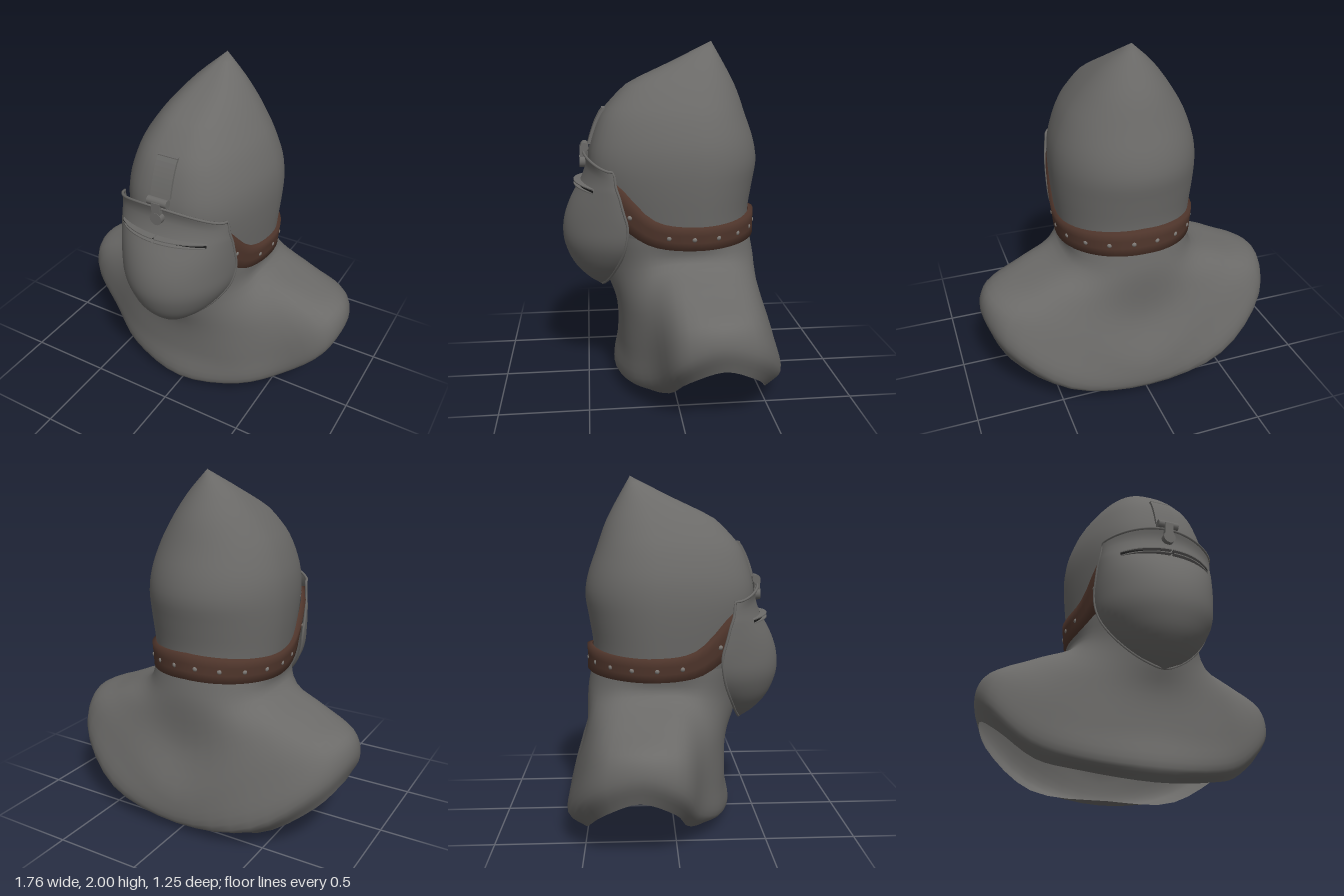
import * as THREE from 'three';
import { mergeVertices } from 'three/addons/utils/BufferGeometryUtils.js';

const V = (x, y, z) => new THREE.Vector3(x, y, z);

// Smooth lookup in a table whose first column rises
function at(table, key) {
  const last = table.length - 1;
  let i = 0;
  while (i < last - 1 && key > table[i + 1][0]) i++;
  const a = table[i], b = table[i + 1], h = b[0] - a[0];
  const t = THREE.MathUtils.clamp((key - a[0]) / h, 0, 1);
  const slope = (n, k) => {
    const p = table[Math.max(n - 1, 0)], q = table[Math.min(n + 1, last)];
    return (q[k] - p[k]) / (q[0] - p[0]) * h;
  };
  return a.map((v, k) => {
    const d = b[k] - v, m = slope(i, k), n = slope(i + 1, k);
    return v + t * (m + t * (3 * d - 2 * m - n + t * (m + n - 2 * d)));
  });
}

// Surface through rows of points
function grid(rows, sharp = false) {
  const n = rows[0].length, idx = [];
  for (let i = 0; i < rows.length - 1; i++)
    for (let j = 0; j < n - 1; j++) {
      const a = i * n + j, b = a + 1, c = a + n, d = c + 1;
      idx.push(a, c, b, b, c, d);
    }
  let g = new THREE.BufferGeometry().setFromPoints(rows.flat());
  g.setIndex(idx);
  g = sharp ? g.toNonIndexed() : mergeVertices(g, 1e-4);
  g.computeVertexNormals();
  return g;
}
const range = (n, f) => Array.from({ length: n + 1 }, (_, i) => f(i / n, i));

// Skull sections: y, front z, back z, half width, centre z
const SKULL = [
  [0.88, 0.37, -0.465, 0.375, -0.1], [1.04, 0.42, -0.465, 0.392, -0.1],
  [1.2, 0.46, -0.488, 0.407, -0.1], [1.33, 0.475, -0.507, 0.41, -0.1],
  [1.45, 0.455, -0.488, 0.393, -0.1], [1.6, 0.395, -0.435, 0.338, -0.1],
  [1.7, 0.31, -0.4, 0.278, -0.11], [1.77, 0.23, -0.37, 0.228, -0.13],
  [1.88, 0.0, -0.31, 0.135, -0.17], [2, -0.24, -0.24, 0, -0.24],
];
// Point on the skull; angle 0 is the front, PI the back
function skullPoint(y, a, off = 0) {
  const [, zf, zb, hw, zc] = at(SKULL, y);
  const s = Math.sin(a), c = Math.cos(a);
  const p = c > 0 ? 1 - 0.3 * c : 1;
  const x = Math.sign(s) * Math.pow(Math.abs(s), p) * (hw + off);
  return V(x, y, zc + c * ((c > 0 ? zf - zc : zc - zb) + off));
}

// Visor rows: y, middle z, edge x, edge z, drop of the edge
const VISOR = [
  [0.57, 0.41, 0.005, 0.41, 0], [0.63, 0.49, 0.12, 0.375, 0], [0.72, 0.57, 0.225, 0.335, 0],
  [0.82, 0.615, 0.3, 0.295, 0], [0.9, 0.63, 0.335, 0.275, 0], [1.0, 0.62, 0.35, 0.265, 0],
  [1.1, 0.585, 0.35, 0.29, 0], [1.2, 0.53, 0.345, 0.315, 0], [1.24, 0.51, 0.34, 0.325, 0.02],
  [1.32, 0.488, 0.335, 0.33, 0.05], [1.38, 0.5, 0.33, 0.335, 0.07],
];
function visorPoint(y, u, off = 0) {
  const [, zm, ex, ez, drop] = at(VISOR, y);
  const s = Math.sin(u * Math.PI / 2), c = Math.max(0, Math.cos(u * Math.PI / 2));
  return V(ex * s, y - drop * s * s, ez + (zm - ez) * Math.pow(c, 1.15) + off);
}

// Band: angle, top y, bottom y, stand-off from the skull
const BAND = [
  [0.62, 1.27, 1.1, 0.035], [0.72, 1.25, 1.02, 0.037], [0.84, 1.2, 0.96, 0.035],
  [1.02, 1.09, 0.905, 0.028], [1.21, 1.03, 0.88, 0.022], [1.57, 1.01, 0.87, 0.02],
  [2.2, 1.015, 0.875, 0.024], [3.15, 1.04, 0.893, 0.037],
];

// Shoulder cape: profiles from neck to hem, placed from front to back
const CAPE = [
  [[0, 0.66, 0.38], [0, 0.47, 0.32], [0, 0.25, 0.315], [0, 0.06, 0.34], [0, 0, 0.28]],
  [[0.2, 0.72, 0.31], [0.26, 0.5, 0.28], [0.33, 0.27, 0.27], [0.38, 0.1, 0.255], [0.38, 0.055, 0.17]],
  [[0.34, 0.77, 0.17], [0.48, 0.57, 0.17], [0.58, 0.36, 0.15], [0.62, 0.2, 0.12], [0.58, 0.12, 0.06]],
  [[0.37, 0.8, 0.03], [0.6, 0.685, 0.03], [0.8, 0.56, 0.03], [0.835, 0.4, 0.02], [0.77, 0.27, -0.02]],
  [[0.38, 0.805, -0.15], [0.62, 0.69, -0.17], [0.84, 0.605, -0.18], [0.88, 0.5, -0.18], [0.84, 0.36, -0.2]],
  [[0.35, 0.79, -0.33], [0.56, 0.67, -0.37], [0.75, 0.56, -0.4], [0.79, 0.4, -0.425], [0.76, 0.27, -0.38]],
  [[0.22, 0.77, -0.455], [0.32, 0.6, -0.49], [0.42, 0.38, -0.55], [0.47, 0.16, -0.59], [0.46, 0.08, -0.5]],
  [[0, 0.77, -0.5], [0, 0.48, -0.51], [0, 0.2, -0.61], [0, 0.05, -0.6], [0, 0.045, -0.46]],
];

export function createModel() {
  const model = new THREE.Group();
  const material = (name, color, side = THREE.FrontSide) =>
    Object.assign(new THREE.MeshStandardMaterial({ color, side }), { name });
  const steel = material('dark steel', 0x6b6a68, THREE.DoubleSide);
  const leather = material('brown leather', 0x50362c, THREE.DoubleSide);
  const rivetMetal = material('rivet metal', 0x7c7874);
  const shadow = material('slit black', 0x1c1c1c, THREE.DoubleSide);
  const add = (name, geometry, mat, parent = model) => {
    const mesh = new THREE.Mesh(geometry, mat);
    mesh.name = name;
    parent.add(mesh);
    return mesh;
  };
  const group = (name) => {
    const g = new THREE.Group();
    g.name = name;
    model.add(g);
    return g;
  };

  // Pointed skull
  add('skull', grid(range(28, (t) => range(48, (s) =>
    skullPoint(2 - 1.12 * t, s * Math.PI * 2)))), steel);

  // Cape draped over the shoulders, mirrored and smoothed both ways
  const half = CAPE.map((m, i) => [skullPoint(0.93, i * Math.PI / 7, 0.006), ...m.map((p) => V(...p))]);
  const mirrored = half.slice(1, -1).reverse().map((m) => m.map((p) => V(-p.x, p.y, p.z)));
  const profiles = [...half, ...mirrored].map((m) => new THREE.CatmullRomCurve3(m));
  add('cape', grid(range(24, (t) =>
    new THREE.CatmullRomCurve3(profiles.map((c) => c.getPoint(t)), true).getPoints(56))), steel);

  // Leather band with thickness, open at the face
  const bandAngles = range(48, (t) => 0.62 + t * (2 * Math.PI - 1.24));
  const bandAt = (a) => at(BAND, a > Math.PI ? 2 * Math.PI - a : a);
  const bandRow = (f, inset) => bandAngles.map((a) => {
    const [, top, bottom, off] = bandAt(a);
    return skullPoint(top + (bottom - top) * f, a, off - inset);
  });
  add('leatherBand', grid([bandRow(0, 0.03), bandRow(0.03, 0), bandRow(0.35, 0),
    bandRow(0.65, 0), bandRow(0.97, 0), bandRow(1, 0.03)]), leather);

  // Low rivets around the band
  const rivets = group('bandRivets');
  const rivetShape = new THREE.SphereGeometry(0.016, 12, 8);
  const rivetAngles = [0.88, 1.29, 1.57, 1.94, 2.3, 2.65, 2.98];
  for (const a of [...rivetAngles, ...rivetAngles.map((r) => 2 * Math.PI - r)]) {
    const [, top, bottom, off] = bandAt(a);
    add('rivet', rivetShape, rivetMetal, rivets).position.copy(skullPoint((top + bottom) / 2, a, off - 0.009));
  }

  // Visor shell and its raised rim
  const visor = group('visor');
  add('visorShell', grid(range(30, (t) => range(28, (s) =>
    visorPoint(1.38 - 0.81 * t, s * 2 - 1)))), steel, visor);
  const rim = [
    ...range(16, (t) => visorPoint(1.38, t * 2 - 1)),
    ...range(16, (t) => visorPoint(1.37 - 0.79 * t, 1)),
    ...range(16, (t) => visorPoint(0.58 + 0.79 * t, -1)),
  ];
  add('visorRim', new THREE.TubeGeometry(new THREE.CatmullRomCurve3(rim, true), 100, 0.008, 6, true), steel, visor);

  // Eye slits, each between two lips that fade out towards the temples
  for (const side of [-1, 1]) {
    const strip = (y, off, flare = 0) => range(10, (t) => {
      const p = visorPoint(1.2, side * (0.01 + 0.55 * t), off + flare * (1 - t * t));
      p.y = y - 0.014 * t * t;
      return p;
    });
    add('eyeSlit', grid([strip(1.214, 0.006), strip(1.2, 0.006)]), shadow, visor);
    for (const y of [1.218, 1.196])
      add('slitLip', grid([strip(y + 0.004, -0.01), strip(y + 0.003, 0.008, 0.022),
        strip(y - 0.003, 0.008, 0.022), strip(y - 0.004, -0.01)], true), steel, visor);
  }

  // Brow hinge: plate bent over the skull, pin, and tab on the visor
  const hinge = group('browHinge');
  const plateLine = (x, off) => range(8, (t) => {
    const y = 1.43 + 0.2 * t;
    return V(x, y, at(SKULL, y)[1] + off);
  });
  add('hingePlate', grid([plateLine(-0.06, -0.03), plateLine(-0.06, 0.013),
    plateLine(0.06, 0.013), plateLine(0.06, -0.03)], true), steel, hinge);
  add('hingePlateTop', new THREE.BoxGeometry(0.12, 0.012, 0.036), steel, hinge)
    .position.set(0, 1.625, at(SKULL, 1.625)[1] - 0.006);
  const pin = add('hingePin', new THREE.CylinderGeometry(0.024, 0.024, 0.12, 12), steel, hinge);
  pin.rotation.z = Math.PI / 2;
  pin.position.set(0, 1.412, 0.492);
  add('hingeTab', new THREE.BoxGeometry(0.05, 0.1, 0.035), steel, hinge).position.set(0, 1.365, 0.503);
  const tabEnd = add('hingeTabEnd', new THREE.CylinderGeometry(0.036, 0.036, 0.035, 16), steel, hinge);
  tabEnd.rotation.x = Math.PI / 2;
  tabEnd.position.set(0, 1.322, 0.505);

  return model;
}
